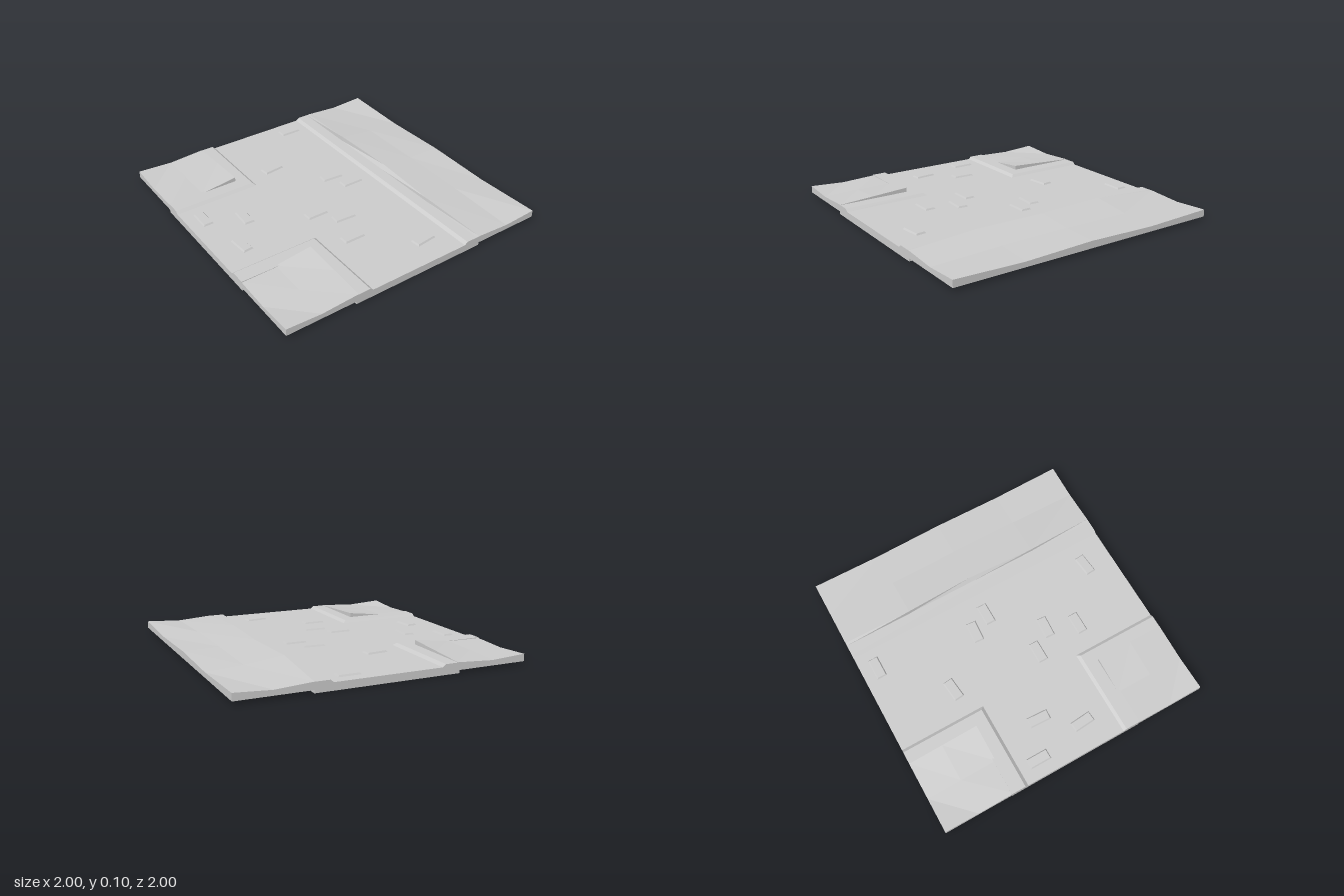
import * as THREE from 'three';

const material = new THREE.MeshStandardMaterial({ color: 0xcccccc, flatShading: true, side: THREE.DoubleSide });

// Faceted surface through rows of [x, y, z] points (columns x rows gives the outward side)
function surface(name, rows) {
  const pos = [];
  for (let i = 0; i < rows.length - 1; i++) {
    for (let j = 0; j < rows[i].length - 1; j++) {
      const a = rows[i][j], b = rows[i][j + 1], c = rows[i + 1][j], d = rows[i + 1][j + 1];
      pos.push(...a, ...b, ...c, ...b, ...d, ...c);
    }
  }
  const geo = new THREE.BufferGeometry();
  geo.setAttribute('position', new THREE.Float32BufferAttribute(pos, 3));
  geo.computeVertexNormals();
  const mesh = new THREE.Mesh(geo, material);
  mesh.name = name;
  return mesh;
}

// Vertical wall hanging from a line of points down to height y
const skirt = (name, points, y) => surface(name, points.map(p => [p, [p[0], y, p[2]]]));

const ROAD = 0.052, CURB = 0.07, BANK_BASE = 0.02;
// Curb section: distance from the road's centre line, height
const curb = [[0.375, ROAD], [0.397, CURB], [0.5, CURB], [0.5, 0]];
const curbTop = curb.slice(0, 3);

function buildRoad() {
  const g = new THREE.Group();
  g.name = 'road';
  const e = 0.375;
  g.add(surface('mainRoad', [-1, 1].map(x => [[x, ROAD, -e], [x, ROAD, e]])));
  g.add(surface('sideRoad', [-e, e].map(x => [[x, ROAD, e], [x, ROAD, 1]])));

  // Straight curb along the back
  const back = [...curb].reverse();
  g.add(surface('backCurb', [-1, 1].map(x => back.map(([d, y]) => [x, y, -d]))));

  // Curb turning the corner, and the road's end wall, on each side
  for (const s of [1, -1]) {
    const corner = surface('cornerCurb', [
      curb.map(([d, y]) => [d, y, 1]),
      curb.map(([d, y]) => [d, y, d]),
      curb.map(([d, y]) => [1, y, d]),
    ]);
    const end = skirt('roadEnd', [
      ...curbTop.map(([d, y]) => [1, y, d]).reverse(),
      ...curbTop.map(([d, y]) => [1, y, -d]),
    ], 0);
    corner.scale.x = end.scale.x = s;
    g.add(corner, end);
  }
  g.add(skirt('sideRoadEnd', [
    ...curbTop.map(([d, y]) => [-d, y, 1]).reverse(),
    ...curbTop.map(([d, y]) => [d, y, 1]),
  ], 0));
  return g;
}

// Uneven ground strip behind the back curb
function buildBackBank() {
  const g = new THREE.Group();
  g.name = 'backBank';
  const xs = [-1, -0.5, 0, 0.5, 1];
  const edge = [0.07, 0.056, 0.07, 0.056, 0.07];
  const middle = [0.055, 0.072, 0.075, 0.07, 0.055];
  const crest = [0.071, 0.104, 0.1, 0.094, 0.071];
  const crestZ = [-0.5, -0.48, -0.5, -0.48, -0.5];
  const rows = xs.map((x, i) => [[x, edge[i], -1], [x, middle[i], -0.75], [x, crest[i], crestZ[i]]]);
  g.add(surface('bankTop', rows));
  g.add(surface('bankFace', rows.map(r => [r[2], [r[2][0], CURB, -0.477]])));
  g.add(skirt('bankBackWall', rows.map(r => r[0]).reverse(), BANK_BASE));
  g.add(skirt('bankLeftWall', [...rows[4]].reverse(), BANK_BASE));
  g.add(skirt('bankRightWall', rows[0], BANK_BASE));
  return g;
}

// Square corner plot, highest at its inner corner
function buildCornerBank(side) {
  const g = new THREE.Group();
  g.name = side > 0 ? 'leftCornerBank' : 'rightCornerBank';
  const c = [0.485, 0.75, 1];
  const heights = [[0.101, 0.068, 0.065], [0.086, 0.064, 0.055], [0.072, 0.056, 0.07]];
  const rows = c.map((x, i) => c.map((z, j) => [x, heights[i][j], z]));
  g.add(surface('bankTop', rows));
  const inner = [rows[2][0], rows[1][0], ...rows[0]];
  g.add(skirt('bankFace', inner, 0.063));
  g.add(skirt('bankFrontWall', rows.map(r => r[2]), BANK_BASE));
  g.add(skirt('bankSideWall', [...rows[2]].reverse(), BANK_BASE));
  g.scale.x = side;
  return g;
}

// Loose paving stones: x, z, turn
const stones = [
  [-0.885, -0.23, 0], [-0.16, -0.13, -0.07], [-0.025, -0.21, 0], [0.795, -0.195, 0.1],
  [-0.495, 0.17, 0.11], [0.295, 0.085, -0.06], [0.157, 0.22, 0], [0.51, 0.17, 0],
  [-0.085, 0.64, Math.PI / 2 - 0.05], [0.165, 0.805, Math.PI / 2 + 0.08], [-0.225, 0.88, Math.PI / 2],
];

function buildStones() {
  const g = new THREE.Group();
  g.name = 'pavingStones';
  const geo = new THREE.BoxGeometry(0.076, 0.012, 0.156);
  const p = geo.attributes.position;
  // Taper the sides towards the top
  for (let i = 0; i < p.count; i++) {
    if (p.getY(i) > 0) p.setXYZ(i, p.getX(i) * 0.78, p.getY(i), p.getZ(i) * 0.9);
  }
  geo.computeVertexNormals();
  for (const [x, z, turn] of stones) {
    const stone = new THREE.Mesh(geo, material);
    stone.name = 'pavingStone';
    stone.position.set(x, ROAD + 0.005, z);
    stone.rotation.y = turn;
    g.add(stone);
  }
  return g;
}

export function createModel() {
  const model = new THREE.Group();
  model.name = 'roadJunctionTile';
  model.add(buildRoad(), buildBackBank(), buildCornerBank(1), buildCornerBank(-1), buildStones());
  return model;
}
